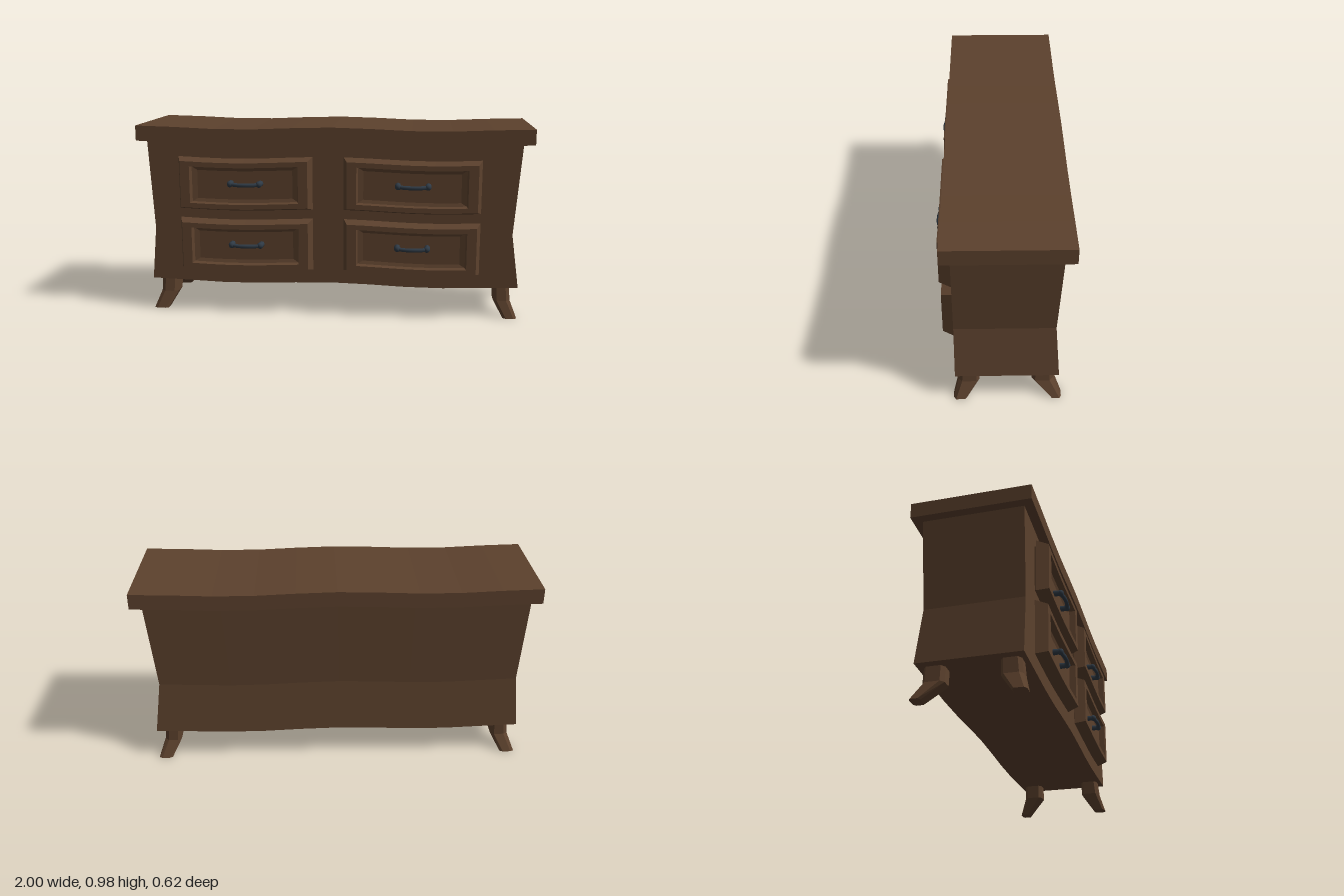
import * as THREE from 'three';

// Gentle dip that runs along the length of the cabinet
const wave = (x) => -0.0075 * (1 - Math.cos(2 * Math.PI * x));

// Skin a stack of equal-length, counter-clockwise loops and cap both ends
function loft(loops) {
  const n = loops[0].length, pos = [];
  const quad = (a, b, c, d) => [a, b, c, a, c, d].forEach((p) => pos.push(...p));
  for (let k = 0; k + 1 < loops.length; k++) {
    for (let i = 0; i < n; i++) {
      const j = (i + 1) % n;
      quad(loops[k][i], loops[k][j], loops[k + 1][j], loops[k + 1][i]);
    }
  }
  const first = loops[0], last = loops[loops.length - 1];
  for (let i = 0; i < n / 2 - 1; i++) {
    quad(last[i], last[i + 1], last[n - 2 - i], last[n - 1 - i]);
    quad(first[n - 1 - i], first[n - 2 - i], first[i + 1], first[i]);
  }
  const geo = new THREE.BufferGeometry();
  geo.setAttribute('position', new THREE.Float32BufferAttribute(pos, 3));
  geo.computeVertexNormals();
  return geo;
}

// Rectangle whose two long sides are split into n segments
function rect(x0, x1, a0, a1, n, place) {
  const low = [], high = [];
  for (let i = 0; i <= n; i++) {
    const x = x0 + ((x1 - x0) * i) / n;
    low.push(place(x, a0));
    high.unshift(place(x, a1));
  }
  return [...low, ...high];
}

// Level outline of the cabinet at height y, following the wave
const level = (x0, x1, front, back, y) =>
  rect(x0, x1, -front, -back, 10, (x, a) => [x, y + wave(x), -a]);

// Octagonal outline (chamfered rectangle) for the legs
function octagon(x0, x1, z0, z1, y) {
  const cx = (x1 - x0) * 0.22, cz = (z1 - z0) * 0.16;
  return [
    [x0, z1 - cz], [x0 + cx, z1], [x1 - cx, z1], [x1, z1 - cz],
    [x1, z0 + cz], [x1 - cx, z0], [x0 + cx, z0], [x0, z0 + cz],
  ].map(([x, z]) => [x, y, z]);
}

export function createModel() {
  const model = new THREE.Group();
  const wood = new THREE.MeshStandardMaterial({ color: 0x5c412d });
  wood.name = 'brown wood';
  const iron = new THREE.MeshStandardMaterial({ color: 0x2f3a45 });
  iron.name = 'dark iron';
  const add = (parent, name, geo, mat) => {
    const mesh = new THREE.Mesh(geo, mat);
    mesh.name = name;
    parent.add(mesh);
    return mesh;
  };

  // Top slab and waisted body
  add(model, 'top', loft([
    level(-1, 1, 0.27, -0.31, 0.9),
    level(-1, 1, 0.27, -0.31, 0.977),
  ]), wood);
  add(model, 'body', loft([
    level(-0.955, 0.95, 0.225, -0.265, 0.165),
    level(-0.93, 0.912, 0.225, -0.245, 0.44),
    level(-0.957, 0.95, 0.225, -0.265, 0.91),
  ]), wood);

  // Splayed legs: [inner x, outer x, inner z, outer z, y]
  const legLevels = {
    front: [[0.88, 0.95, 0.17, 0.235, 0], [0.83, 0.915, 0.11, 0.21, 0.088], [0.825, 0.91, 0.107, 0.2, 0.175]],
    back: [[0.88, 0.95, 0.23, 0.282, 0], [0.83, 0.915, 0.14, 0.242, 0.088], [0.825, 0.91, 0.14, 0.24, 0.175]],
  };
  for (const [end, rows] of Object.entries(legLevels)) {
    for (const side of [1, -1]) {
      const loops = rows.map(([xi, xo, zi, zo, y]) => {
        const xs = side > 0 ? [xi, xo] : [-xo - 0.005, -xi];
        const zs = end === 'front' ? [zi, zo] : [-zo, -zi];
        return octagon(...xs, ...zs, y);
      });
      add(model, end + (side > 0 ? 'LeftLeg' : 'RightLeg'), loft(loops), wood);
    }
  }

  // Drawer front sections: [half width, half height, z]
  const sections = [
    [0.325, 0.118, 0.215], [0.325, 0.118, 0.236], [0.346, 0.135, 0.236],
    [0.326, 0.119, 0.293], [0.278, 0.094, 0.293], [0.272, 0.09, 0.262],
    [0.245, 0.073, 0.256],
  ];

  // Handle bar with a bowed grip
  const gripPath = new THREE.CatmullRomCurve3([
    [-0.076, 0, 0.25], [-0.074, 0, 0.286], [-0.05, -0.003, 0.296], [0, -0.004, 0.301],
    [0.05, -0.003, 0.296], [0.074, 0, 0.286], [0.076, 0, 0.25],
  ].map((p) => new THREE.Vector3(...p)));
  const gripGeo = new THREE.TubeGeometry(gripPath, 24, 0.0105, 8);
  const knobGeo = new THREE.SphereGeometry(0.0165, 10, 8);
  const postGeo = new THREE.CylinderGeometry(0.013, 0.016, 0.04, 8).rotateX(Math.PI / 2);

  for (const [sideName, cx] of [['right', -0.445], ['left', 0.405]]) {
    for (const [rowName, cy, dz] of [['Upper', 0.69, 0], ['Lower', 0.371, -0.006]]) {
      const drawer = new THREE.Group();
      drawer.name = sideName + rowName + 'Drawer';
      const loops = sections.map(([hw, hh, z]) =>
        rect(cx - hw, cx + hw, cy - hh, cy + hh, 6, (x, y) => [x, y + wave(x), z + dz]));
      add(drawer, 'drawerFront', loft(loops), wood);

      const handle = new THREE.Group();
      handle.name = 'handle';
      handle.position.set(cx + 0.005, cy + 0.012 + wave(cx), dz);
      add(handle, 'grip', gripGeo, iron);
      for (const s of [-1, 1]) {
        add(handle, 'knob', knobGeo, iron).position.set(s * 0.074, 0, 0.29);
        add(handle, 'post', postGeo, iron).position.set(s * 0.076, 0, 0.27);
      }
      drawer.add(handle);
      model.add(drawer);
    }
  }
  return model;
}
